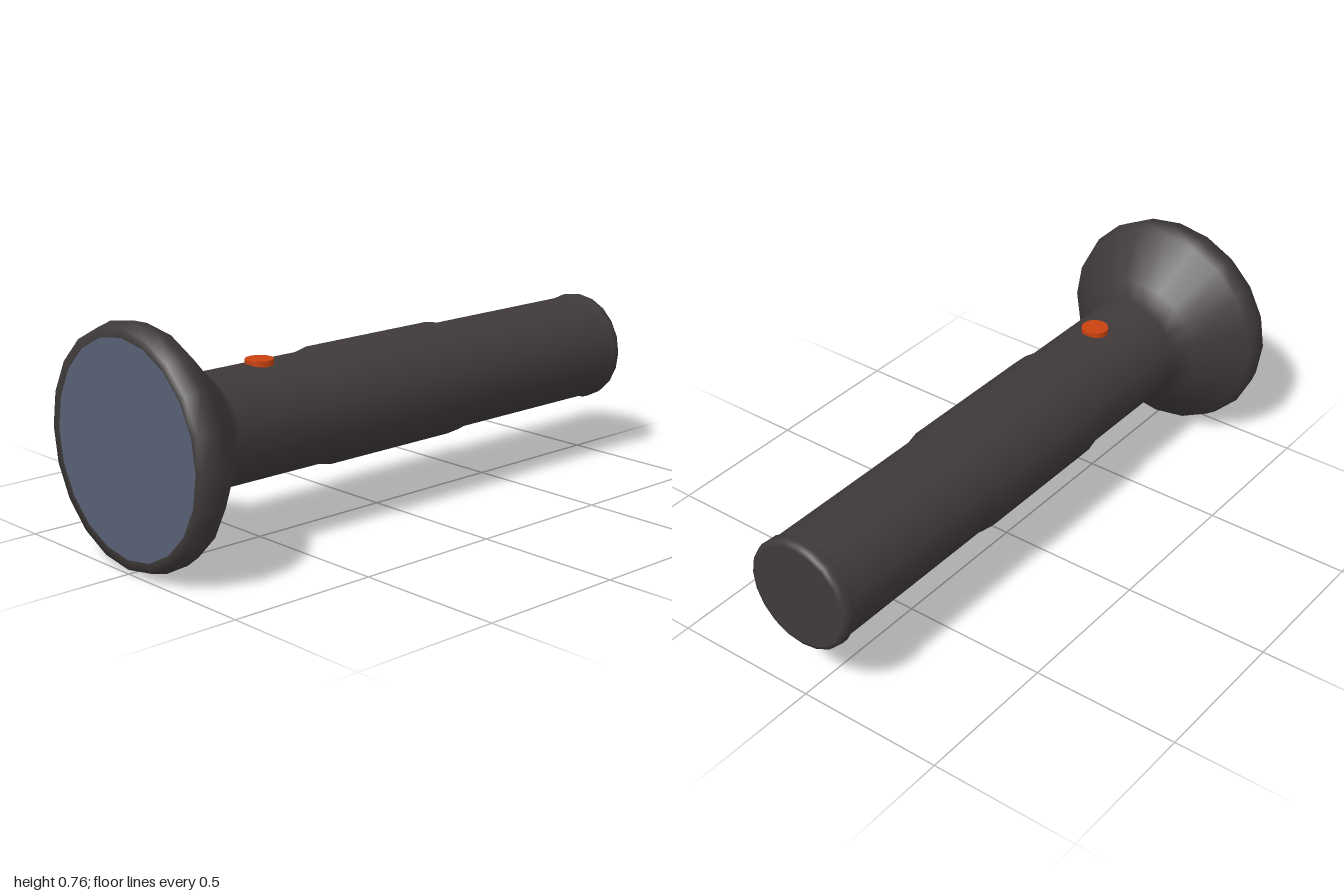
import * as THREE from 'three';

const SIDES = 20;
const AXIS_Y = 0.38;

export function createModel() {
  const group = new THREE.Group();
  const dark = new THREE.MeshStandardMaterial({ color: 0x3f3a39 });
  const glass = new THREE.MeshStandardMaterial({ color: 0x565f75 });
  const orange = new THREE.MeshStandardMaterial({ color: 0xc8420f });

  const add = (name, geometry, material, y, z) => {
    const mesh = new THREE.Mesh(geometry, material);
    mesh.name = name;
    mesh.position.set(0, y, z);
    group.add(mesh);
    return mesh;
  };

  // Turned parts: [radius, z] pairs from back to front
  const turned = (name, profile) => {
    const points = profile.map(([r, z]) => new THREE.Vector2(r, z));
    const geometry = new THREE.LatheGeometry(points, SIDES).rotateX(Math.PI / 2);
    return add(name, geometry, dark, AXIS_Y, 0);
  };

  // Handle with a rounded tail rim and a slightly raised middle grip,
  // flaring into the lamp head
  turned('bodyAndHead', [
    [0.172, -1], [0.183, -0.995], [0.187, -0.98], [0.186, -0.96], [0.18, -0.945],
    [0.18, -0.32], [0.19, -0.27], [0.19, 0.25], [0.18, 0.3],
    [0.18, 0.71], [0.228, 0.77], [0.365, 0.905], [0.379, 0.95], [0.366, 1], [0.336, 1],
  ]);

  // Flat tail cap
  add('tailCap', new THREE.CircleGeometry(0.172, SIDES).rotateY(Math.PI), dark, AXIS_Y, -1);

  // Lens
  add('lens', new THREE.CircleGeometry(0.336, SIDES), glass, AXIS_Y, 1);

  // Switch button on top
  add('switchButton', new THREE.CylinderGeometry(0.045, 0.045, 0.04, SIDES), orange, 0.552, 0.49);

  return group;
}
